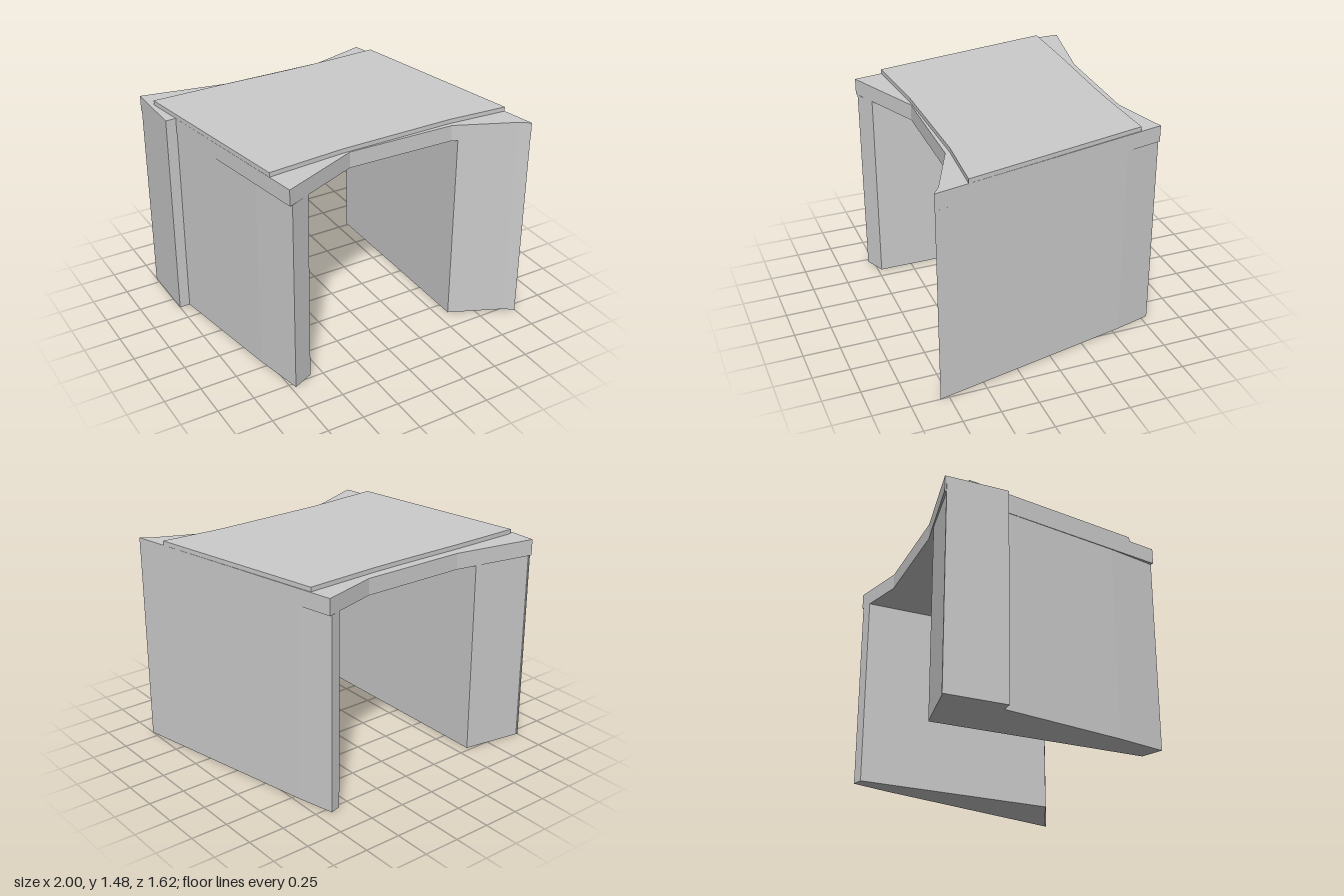
import * as THREE from 'three';

const material = new THREE.MeshStandardMaterial({ color: 0xcccccc, flatShading: true });

// Upright prism over a plan outline of [x, z] points, from height y0 to y1
function prism(name, plan, y0, y1) {
  const shape = new THREE.Shape(plan.map(([x, z]) => new THREE.Vector2(x, -z)));
  const geometry = new THREE.ExtrudeGeometry(shape, { depth: y1 - y0, bevelEnabled: false });
  geometry.rotateX(-Math.PI / 2);
  geometry.translate(0, y0, 0);
  const mesh = new THREE.Mesh(geometry, material);
  mesh.name = name;
  return mesh;
}

export function createModel() {
  const group = new THREE.Group();
  group.name = 'portal';
  const under = 1.34, deck = 1.45, top = 1.48;

  // Wall on the +x side, tapering from a wide front to a thin back
  group.add(prism('leftWall', [
    [0.58, 0.602], [0.93, 0.76], [1, 0.808], [0.717, -0.55], [0.655, -0.795], [0.58, -0.773],
  ], 0, under));

  // Wall on the -x side, thin at the front and wide at the back
  group.add(prism('rightWall', [
    [-0.58, 0.725], [-0.72, 0.787], [-0.79, 0.45], [-0.928, -0.385],
    [-0.99, -0.795], [-0.93, -0.785], [-0.58, -0.725],
  ], 0, under));

  // Pier that steps out of the -x wall and rises to deck level
  group.add(prism('rightPier', [
    [-0.928, -0.385], [-1, -0.385], [-1, -0.8], [-0.99, -0.8],
  ], 0, deck));

  // Roof slab spanning both walls
  group.add(prism('roofSlab', [
    [-0.74, 0.793], [-0.2, 0.567], [0.54, 0.585], [0.93, 0.76], [1, 0.81],
    [0.67, -0.798], [0.29, -0.692], [-0.43, -0.702], [-1, -0.813],
  ], under, deck));

  // Thin raised plate on the roof
  group.add(prism('roofPlate', [
    [-0.77, 0.6], [-0.25, 0.56], [0.54, 0.555], [0.953, 0.585],
    [0.695, -0.648], [0.2, -0.632], [0, -0.632], [-0.5, -0.642], [-0.972, -0.642],
  ], deck, top));

  return group;
}
